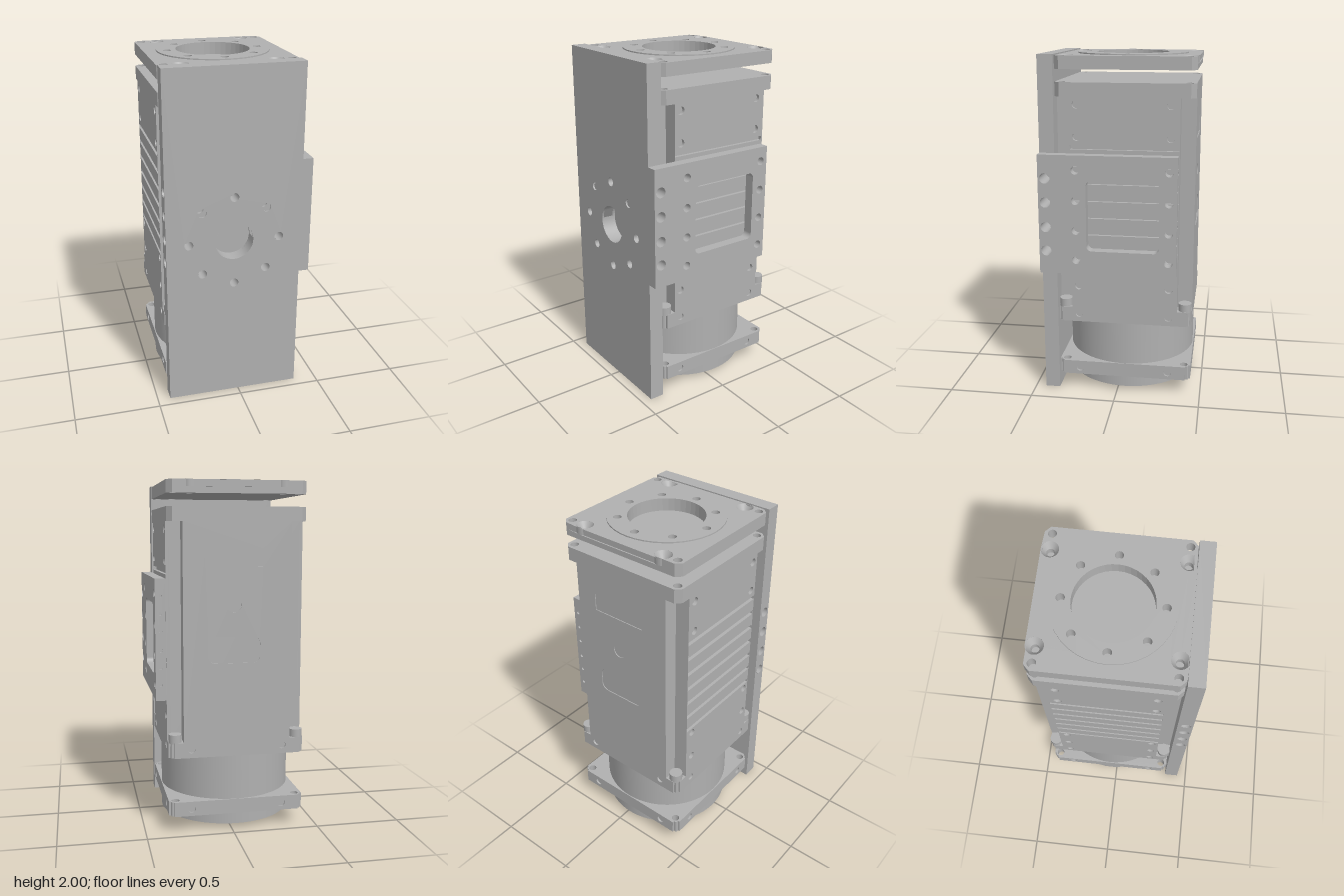
import * as THREE from 'three';

const CX = -0.03, CZ = -0.045, HALF = 0.395;   // axis of the actuator and half its square width
const metal = new THREE.MeshStandardMaterial({ color: 0xb0b0b0, side: THREE.DoubleSide });
metal.name = 'machined grey metal';

// outlines, each in the u, v plane of its slab
function rect(u0, u1, v0, v1, r = 0) {
  const s = new THREE.Shape();
  if (r === 0) {
    s.moveTo(u0, v0).lineTo(u1, v0).lineTo(u1, v1).lineTo(u0, v1);
  } else {
    s.absarc(u1 - r, v0 + r, r, -Math.PI / 2, 0);
    s.absarc(u1 - r, v1 - r, r, 0, Math.PI / 2);
    s.absarc(u0 + r, v1 - r, r, Math.PI / 2, Math.PI);
    s.absarc(u0 + r, v0 + r, r, Math.PI, Math.PI * 1.5);
  }
  s.closePath();
  return s;
}
function chamfered(h, c) {
  const k = h - c;
  return new THREE.Shape([[k, -h], [h, -k], [h, k], [k, h], [-k, h], [-h, k], [-h, -k], [-k, -h]]
    .map(([u, v]) => new THREE.Vector2(CX + u, -CZ + v)));
}
function disc(u, v, r) {
  const s = new THREE.Shape();
  s.absarc(u, v, r, 0, Math.PI * 2);
  return s;
}
const circleOf = (u, v, n, radius, r) => Array.from({ length: n }, (_, i) =>
  disc(u + radius * Math.cos(i / n * 2 * Math.PI), v + radius * Math.sin(i / n * 2 * Math.PI), r));
const grid = (us, vs, r) => us.flatMap(u => vs.map(v => disc(u, v, r)));

export function createModel() {
  const group = new THREE.Group();
  const add = (name, geo, x = 0, y = 0, z = 0) => {
    const m = new THREE.Mesh(geo, metal);
    m.name = name;
    m.position.set(x, y, z);
    group.add(m);
    return m;
  };
  // slab from a to b along an axis; u is x (or -z for the x axis), v is y (or -z for the y axis)
  const slab = (name, axis, a, b, shape, holes = []) => {
    shape.holes = holes;
    const g = new THREE.ExtrudeGeometry(shape, { depth: b - a, bevelEnabled: false, curveSegments: 20 });
    g.translate(0, 0, a);
    if (axis === 'x') g.rotateY(Math.PI / 2);
    if (axis === 'y') g.rotateX(-Math.PI / 2);
    return add(name, g);
  };
  const block = (name, x0, x1, y0, y1, z0, z1) =>
    add(name, new THREE.BoxGeometry(x1 - x0, y1 - y0, z1 - z0), (x0 + x1) / 2, (y0 + y1) / 2, (z0 + z1) / 2);

  const L = CX - HALF, R = CX + HALF, BACK = CZ - HALF, FRONT = CZ + HALF;
  const cornerU = [CX - 0.355, CX + 0.355], cornerV = [-CZ - 0.355, -CZ + 0.355];
  const boltU = [CX - 0.265, CX + 0.265], sideU = [-0.225, 0.305];

  // front mounting plate: hollow skins so that bores cross it both ways
  const boreYs = [0.895, 1.035, 1.18, 1.32], Z0 = FRONT + 0.003, Z1 = 0.44;
  for (const [a, b] of [[Z0, 0.37], [0.43, Z1]])
    slab('frontPlateSkin', 'z', a, b, rect(L, R, 0, 2), [disc(CX, 1, 0.112), ...circleOf(CX, 1, 8, 0.265, 0.026)]);
  for (const x of [L, R - 0.012]) {
    slab('frontPlateEdge', 'x', x, x + 0.012, rect(-Z1, -Z0, 0, 2), grid([-0.4], boreYs, 0.03));
    for (const y of boreYs) {
      const tube = new THREE.CylinderGeometry(0.03, 0.03, 0.1, 20, 1, true).rotateZ(Math.PI / 2);
      add('crossBore', tube, x < 0 ? L + 0.05 : R - 0.05, y, 0.4);
    }
  }
  for (const y of [0, 1.988]) block('frontPlateEnd', L, R, y, y + 0.012, Z0, Z1);
  // bore walls, open where the cross bore passes
  for (const [from, to] of [[33, 147], [177, 363]]) {
    const pts = Array.from({ length: 25 }, (_, i) => (from + (to - from) * i / 24) * Math.PI / 180);
    const pos = pts.flatMap(t => [Z0, Z1].flatMap(z => [0.112 * Math.cos(t), 0.112 * Math.sin(t), z]));
    const idx = pts.slice(1).flatMap((_, i) => [2 * i, 2 * i + 1, 2 * i + 2, 2 * i + 1, 2 * i + 3, 2 * i + 2]);
    const g = new THREE.BufferGeometry();
    g.setAttribute('position', new THREE.Float32BufferAttribute(pos, 3));
    g.setIndex(idx);
    g.computeVertexNormals();
    add('centreBore', g, CX, 1, 0);
  }
  for (const i of [0, 2, 4, 5, 6, 7]) {
    const t = i * Math.PI / 4;
    add('boltBore', new THREE.CylinderGeometry(0.026, 0.026, Z1 - Z0, 16, 1, true).rotateX(Math.PI / 2),
      CX + 0.265 * Math.cos(t), 1 + 0.265 * Math.sin(t), (Z0 + Z1) / 2);
  }

  // side bracket with window
  slab('sideBracket', 'x', R, 0.425, rect(-0.44, 0.34, 0.76, 1.455), [
    rect(-0.165, 0.25, 0.9, 1.31, 0.03), ...grid([-0.4], boreYs, 0.03),
    ...grid(sideU, [0.845, 1.02, 1.195, 1.37], 0.024)]);
  slab('sideBracketEdge', 'z', -0.35, -0.34, rect(R, 0.425, 0.76, 1.455),
    grid([0.395], [0.85, 0.95, 1.05, 1.16, 1.26, 1.36], 0.01));

  // floating top plate: floor, bored layer, countersunk layer, raised ring
  const corners = () => grid(cornerU, cornerV, 0.023);
  const ringBolts = () => circleOf(CX, -CZ, 8, 0.265, 0.023);
  const square = () => chamfered(HALF, 0.03);
  const bore = () => disc(CX, -CZ, 0.213);
  slab('topPlateFloor', 'y', 1.92, 1.927, square(), [...corners(), ...grid(boltU, cornerV, 0.022)]);
  slab('topPlateLower', 'y', 1.927, 1.955, square(),
    [...corners(), bore(), ...ringBolts(), ...grid(boltU, cornerV, 0.022)]);
  slab('topPlateUpper', 'y', 1.955, 1.993, square(),
    [...corners(), bore(), ...ringBolts(), ...grid(boltU, cornerV, 0.047)]);
  slab('topRing', 'y', 1.993, 2, disc(CX, -CZ, 0.325), [bore(), ...ringBolts()]);
  for (const x of boltU) for (const v of cornerV)
    add('countersink', new THREE.CylinderGeometry(0.047, 0.022, 0.038, 24, 1, true), x, 1.974, -v);

  // body: cross-shaped column with grooved sides
  block('bodyCore', L + 0.02, R - 0.02, 0.53, 1.77, CZ - 0.31, CZ + 0.31);
  block('bodySpine', CX - 0.31, CX + 0.31, 0.53, 1.77, BACK + 0.02, FRONT);
  for (const x of [L, R - 0.02]) {
    const grooves = Array.from({ length: 7 }, (_, i) =>
      rect(-CZ - 0.308, -CZ + 0.308, 0.878 + i * 0.1, 0.902 + i * 0.1));
    slab('groovedSide', 'x', x, x + 0.02, rect(-CZ - 0.31, -CZ + 0.31, 0.53, 1.77),
      [...grooves, ...grid(sideU, [0.665, 0.845, 1.55, 1.73], 0.023)]);
  }
  // back cover with shallow recesses
  slab('backCover', 'z', BACK, BACK + 0.005, rect(CX - 0.31, CX + 0.31, 0.53, 1.77), [
    rect(-0.175, 0.155, 1.52, 1.62), disc(-0.01, 1.31, 0.042), rect(-0.16, 0.14, 0.98, 1.13, 0.04)]);
  block('backCoverBase', CX - 0.31, CX + 0.31, 0.53, 1.77, BACK + 0.005, BACK + 0.02);
  slab('bodyTopFlange', 'y', 1.77, 1.85, square(), corners());
  for (const x of cornerU) for (const v of cornerV)
    add('cornerBoss', new THREE.CylinderGeometry(0.038, 0.038, 0.05, 20), x, 0.55, -v);

  // drilled square flanges: inset core with a thin drilled skin on each side
  const d = 0.012, flat = HALF - 0.03;
  for (const [name, y0, y1, yh] of [['bodyBottomFlange', 0.44, 0.53, 0.49], ['lowerFlange', 0.095, 0.18, 0.137]]) {
    slab(name, 'y', y0, y1, chamfered(HALF - d, 0.03 - 2 * d), corners());
    for (const x of [L, R - d])
      slab(name + 'Side', 'x', x, x + d, rect(-CZ - flat, -CZ + flat, y0, y1), grid(sideU, [yh], 0.022));
    for (const z of [BACK, FRONT - d])
      slab(name + 'Face', 'z', z, z + d, rect(CX - flat, CX + flat, y0, y1), grid(boltU, [yh], 0.022));
  }

  // round neck and output hub
  add('neck', new THREE.CylinderGeometry(0.39, 0.39, 0.26, 64), CX, 0.31, CZ);
  add('hubDisc', new THREE.CylinderGeometry(0.39, 0.39, 0.065, 64), CX, 0.0625, CZ);
  slab('outputRing', 'y', 0, 0.03, disc(CX, -CZ, 0.305),
    [disc(CX, -CZ, 0.185), ...circleOf(CX, -CZ, 16, 0.25, 0.016)]);
  return group;
}
